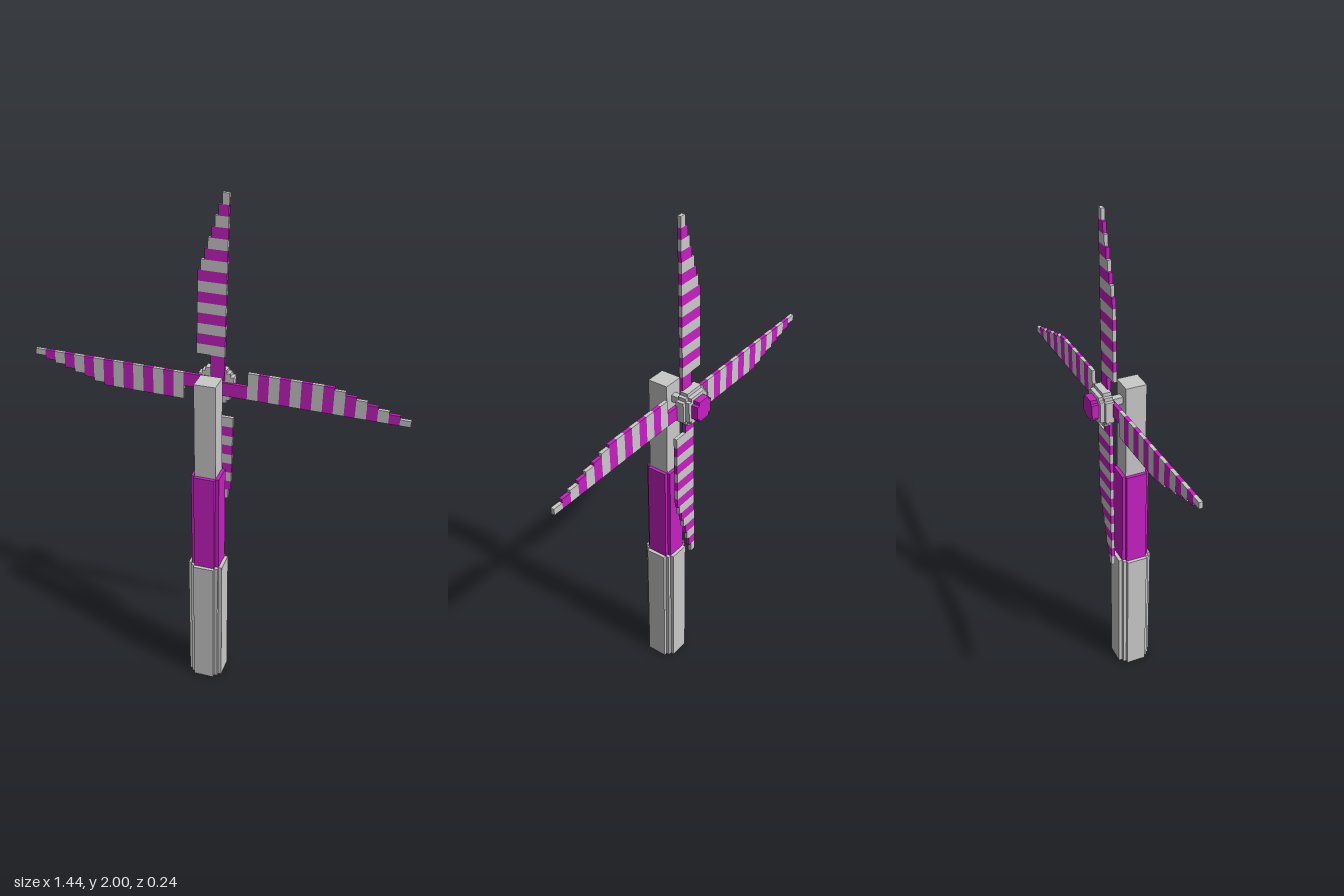
import * as THREE from 'three';

export function createModel() {
  const grey = new THREE.MeshStandardMaterial({ color: 0xcacaca });
  grey.name = 'light grey';
  const magenta = new THREE.MeshStandardMaterial({ color: 0xc81fc3 });
  magenta.name = 'magenta';
  const U = 0.0136; // block size used for stepped outlines

  const add = (parent, name, geometry, material, x = 0, y = 0, z = 0) => {
    const mesh = new THREE.Mesh(geometry, material);
    mesh.name = name;
    mesh.position.set(x, y, z);
    parent.add(mesh);
    return mesh;
  };

  // Prism along +z whose corners are cut back in block steps
  const steppedPrism = (half, steps, depth) => {
    const corner = [];
    for (let i = 0; i <= steps; i++) {
      corner.push([half - i, half - steps + i]);
      if (i < steps) corner.push([half - i - 1, half - steps + i]);
    }
    const points = [];
    for (let q = 0; q < 4; q++) {
      for (const [x, y] of corner) {
        points.push(new THREE.Vector2(x * U, y * U).rotateAround(new THREE.Vector2(), q * Math.PI / 2));
      }
    }
    return new THREE.ExtrudeGeometry(new THREE.Shape(points), { depth, bevelEnabled: false });
  };

  const model = new THREE.Group();
  model.name = 'windTurbine';

  // Tower in three narrowing sections
  const tower = new THREE.Group();
  tower.name = 'tower';
  tower.position.z = 0.053;
  model.add(tower);
  for (const [name, half, steps, y0, y1, mat] of [
    ['lowerTower', 5, 2, 0, 0.557, grey],
    ['middleTower', 4, 1, 0.557, 0.963, magenta],
    ['upperTower', 3, 0, 0.963, 1.345, grey],
  ]) {
    add(tower, name, steppedPrism(half, steps, y1 - y0).rotateX(-Math.PI / 2), mat, 0, y0, 0);
  }

  // Axle from tower to rotor
  add(model, 'axle', new THREE.BoxGeometry(0.027, 0.027, 0.07), grey, 0, 1.283, -0.015);

  // Rotor, turned slightly
  const rotor = new THREE.Group();
  rotor.name = 'rotor';
  rotor.position.set(-0.003, 1.28, 0);
  rotor.rotation.z = -0.021;
  model.add(rotor);

  // Hub rings and nose cap, stacked towards the back
  for (const [name, half, steps, z0, z1, mat] of [
    ['hub', 5, 2, -0.079, -0.046, grey],
    ['hubRing', 4, 1, -0.095, -0.079, grey],
    ['noseCap', 3, 1, -0.121, -0.095, magenta],
  ]) {
    add(rotor, name, steppedPrism(half, steps, z1 - z0), mat, 0, 0, z0);
  }

  // Striped blades: one straight edge, the other stepping in to the tip
  const root = 0.122, tip = 0.72, bands = 15, low = -0.034, thick = 0.014;
  const taper = [7.2, 6.2, 5.4, 4.5, 3.6, 2.8, 1.8];
  const band = (tip - root) / bands;
  for (let b = 0; b < 4; b++) {
    const blade = new THREE.Group();
    blade.name = 'blade';
    blade.position.z = -0.045;
    blade.rotation.z = b * Math.PI / 2;
    rotor.add(blade);
    add(blade, 'bladeStem', new THREE.BoxGeometry(root - 0.026, 0.053, thick), magenta, (root + 0.026) / 2, low + 0.0265, 0);
    for (let i = 0; i < bands; i++) {
      const width = (i < 8 ? 8 : taper[i - 8]) * 0.0134;
      add(blade, 'bladeBand', new THREE.BoxGeometry(band, width, thick), i % 2 ? magenta : grey,
        root + band * (i + 0.5), low + width / 2, 0);
    }
  }
  return model;
}
